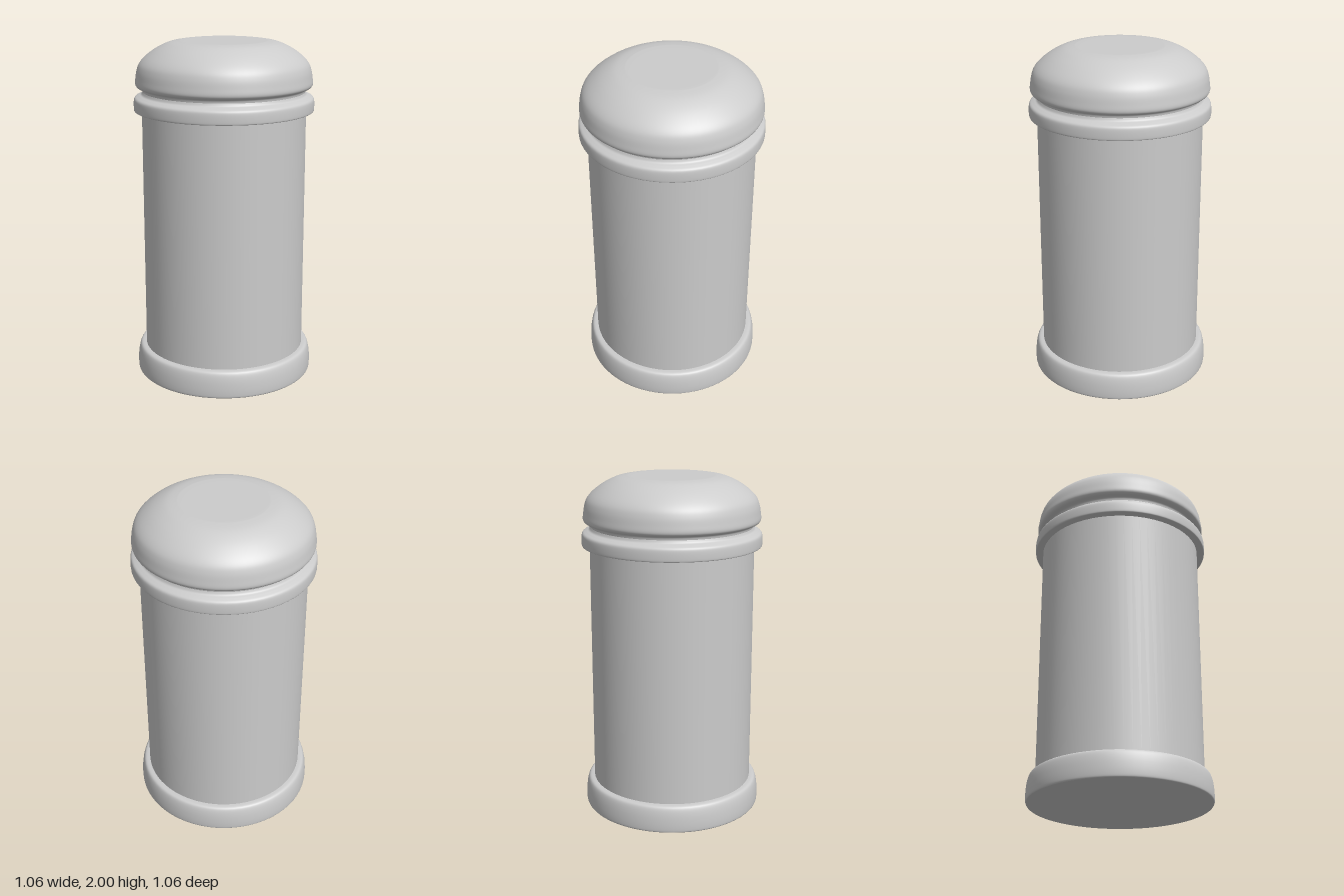
import * as THREE from 'three';

const SEGMENTS = 64;
const material = new THREE.MeshStandardMaterial({ color: 0xcccccc });

const toPoints = (pairs) => pairs.map(([r, y]) => new THREE.Vector2(r, y));

// Smooth curve through a few (radius, height) pairs
const smooth = (pairs, n) => new THREE.SplineCurve(toPoints(pairs)).getPoints(n);

// Revolve each profile on its own, so the edges between them stay sharp
function turned(name, ...profiles) {
  const part = new THREE.Group();
  part.name = name;
  for (const points of profiles) {
    const mesh = new THREE.Mesh(new THREE.LatheGeometry(points, SEGMENTS), material);
    mesh.name = name + 'Surface';
    part.add(mesh);
  }
  return part;
}

export function createModel() {
  const model = new THREE.Group();
  model.name = 'canister';

  // Foot ring with a flat underside and a rounded shoulder
  model.add(turned('base',
    toPoints([[0, 0], [0.525, 0]]),
    smooth([[0.525, 0], [0.53, 0.01], [0.531, 0.05], [0.527, 0.1], [0.518, 0.14], [0.505, 0.156], [0.48, 0.16]], 24),
  ));

  // Straight cylindrical wall
  model.add(turned('body', toPoints([[0.48, 0.155], [0.48, 1.6]])));

  // Collar under the lid, rounded into the groove
  model.add(turned('collar',
    toPoints([[0.475, 1.598], [0.52, 1.598]]),
    smooth([[0.52, 1.598], [0.526, 1.606], [0.526, 1.65], [0.52, 1.673], [0.5, 1.685], [0.482, 1.694], [0.474, 1.71]], 28),
  ));

  // Domed lid with a tucked lower edge and a flat top
  model.add(turned('lid',
    smooth([
      [0.474, 1.71], [0.48, 1.727], [0.505, 1.737], [0.516, 1.755], [0.513, 1.79],
      [0.505, 1.835], [0.488, 1.875], [0.45, 1.915], [0.39, 1.957], [0.32, 1.988], [0.25, 2],
    ], 50).concat(toPoints([[0.2, 2], [0, 2]])),
  ));

  return model;
}
